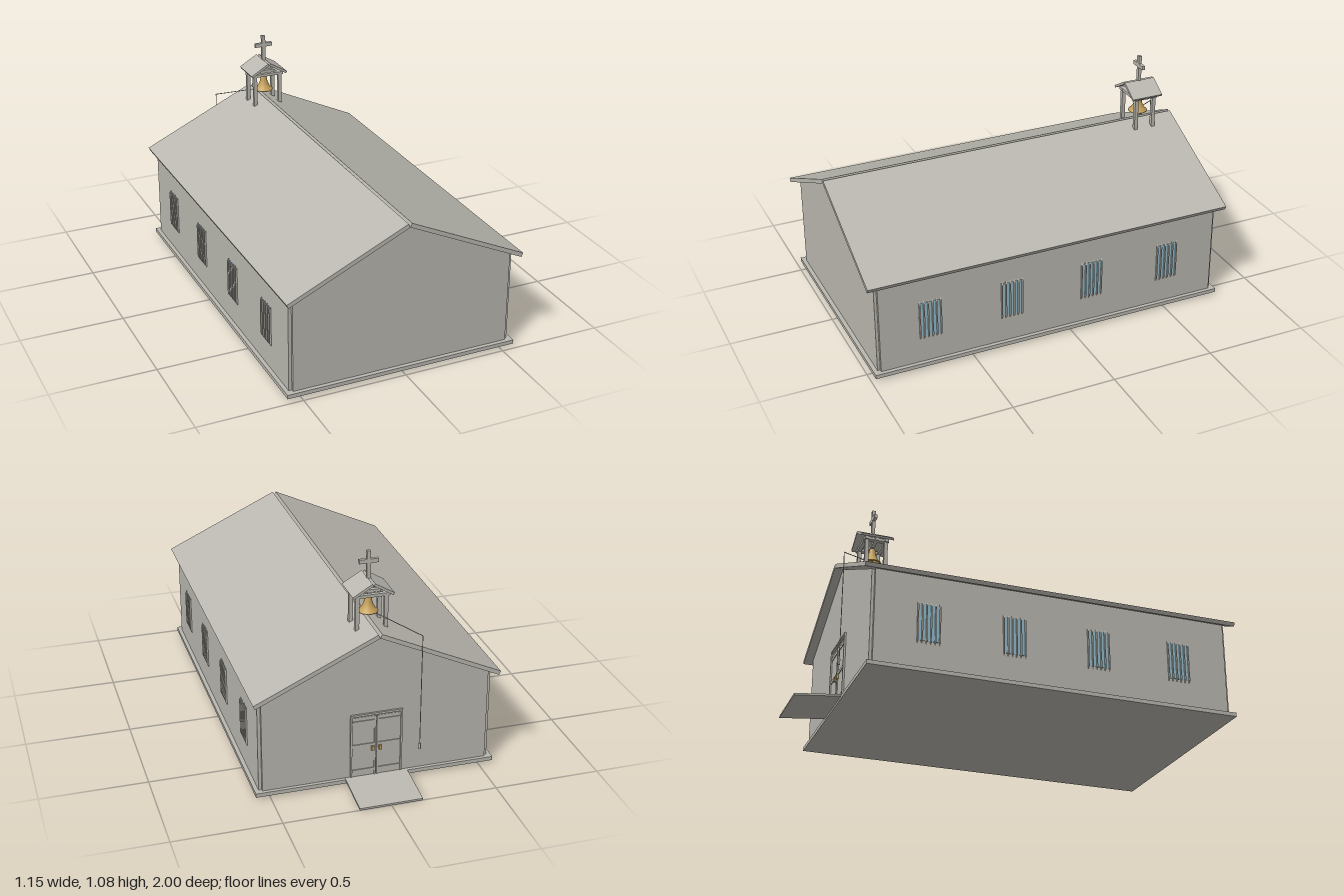
import * as THREE from 'three';

const stone = new THREE.MeshStandardMaterial({ color: 0xbab8b0 });
stone.name = 'warm grey';
const glass = new THREE.MeshStandardMaterial({ color: 0x93bccb });
glass.name = 'pale blue glass';
const brass = new THREE.MeshStandardMaterial({ color: 0xc4a05a, side: THREE.DoubleSide });
brass.name = 'brass';

function add(parent, name, geometry, material = stone) {
  const mesh = new THREE.Mesh(geometry, material);
  mesh.name = name;
  parent.add(mesh);
  return mesh;
}

// Box given by its minimum and maximum on each axis
function box(parent, name, x0, x1, y0, y1, z0, z1, material) {
  const mesh = add(parent, name, new THREE.BoxGeometry(x1 - x0, y1 - y0, z1 - z0), material);
  mesh.position.set((x0 + x1) / 2, (y0 + y1) / 2, (z0 + z1) / 2);
  return mesh;
}

// Straight rod between two points
function rod(parent, name, a, b, radius, material) {
  const path = new THREE.LineCurve3(new THREE.Vector3(...a), new THREE.Vector3(...b));
  return add(parent, name, new THREE.TubeGeometry(path, 1, radius, 8), material);
}

// Two tilted slabs that touch along their lower ridge edge
function gableRoof(parent, name, ridgeY, angle, length, thick, z0, z1) {
  for (const s of [-1, 1]) {
    const slab = new THREE.BoxGeometry(length, thick, z1 - z0);
    slab.translate(s * length / 2, thick / 2, 0);
    slab.rotateZ(-s * angle);
    add(parent, name, slab).position.set(0, ridgeY, (z0 + z1) / 2);
  }
}

function createWindow(side, z) {
  const g = new THREE.Group();
  g.name = 'window';
  const x = side * 0.548;
  const span = (w) => [Math.min(x, x + side * w), Math.max(x, x + side * w)];
  box(g, 'windowPane', ...span(0.002), 0.165, 0.34, z - 0.053, z + 0.053, glass);
  // Upright bars with bevelled ends
  const profile = new THREE.Shape([[0, 0.15], [0.008, 0.165], [0.008, 0.335], [0, 0.35]]
    .map(([px, py]) => new THREE.Vector2(px, py)));
  for (let i = 0; i < 6; i++) {
    const bar = new THREE.ExtrudeGeometry(profile, { depth: 0.006, bevelEnabled: false });
    bar.translate(0, 0, -0.003);
    if (side < 0) bar.rotateY(Math.PI);
    add(g, 'windowBar', bar).position.set(x, 0, z - 0.051 + i * 0.0204);
  }
  return g;
}

function createDoor() {
  const g = new THREE.Group();
  g.name = 'doubleDoor';
  for (const s of [-1, 1]) {
    const part = (name, a, b, y0, y1, z0, z1) =>
      box(g, name, Math.min(s * a, s * b), Math.max(s * a, s * b), y0, y1, z0, z1);
    part('doorJamb', 0.115, 0.123, 0.03, 0.35, -0.779, -0.769);
    part('doorLeaf', 0.002, 0.115, 0.03, 0.335, -0.772, -0.768);
    for (const y of [0.06, 0.19, 0.31]) part('doorRail', 0.004, 0.113, y - 0.007, y + 0.007, -0.776, -0.77);
    part('doorStile', 0.002, 0.01, 0.03, 0.335, -0.776, -0.77);
    box(g, 'doorHandle', s * 0.018 - 0.006, s * 0.018 + 0.006, 0.16, 0.182, -0.783, -0.77, brass);
  }
  box(g, 'doorHead', -0.123, 0.123, 0.342, 0.352, -0.779, -0.769);
  return g;
}

function createBelfry() {
  const g = new THREE.Group();
  g.name = 'belfry';
  const zc = -0.63;
  for (const x of [-0.067, 0.067]) {
    for (const z of [zc - 0.047, zc + 0.047]) box(g, 'belfryPost', x - 0.009, x + 0.009, 0.72, 0.88, z - 0.009, z + 0.009);
    box(g, 'belfrySideBeam', x - 0.012, x + 0.012, 0.88, 0.894, zc - 0.06, zc + 0.06);
  }
  for (const z of [zc - 0.05, zc, zc + 0.05]) box(g, 'belfryCrossBeam', -0.083, 0.083, 0.88, 0.894, z - 0.009, z + 0.009);
  gableRoof(g, 'belfryRoof', 0.943, 0.535, 0.106, 0.012, zc - 0.08, zc + 0.08);
  // Cross on the ridge
  box(g, 'crossUpright', -0.009, 0.009, 0.94, 1.08, zc - 0.008, zc + 0.008);
  box(g, 'crossArm', -0.045, 0.045, 1.022, 1.041, zc - 0.008, zc + 0.008);
  // Bell
  const profile = [[0, 0.08], [0.012, 0.08], [0.015, 0.073], [0.018, 0.05], [0.025, 0.028],
    [0.036, 0.012], [0.046, 0.004], [0.046, 0], [0.04, 0]];
  const bell = new THREE.LatheGeometry(profile.map(([r, y]) => new THREE.Vector2(r, y)).reverse(), 24);
  add(g, 'bell', bell, brass).position.set(0, 0.79, zc);
  rod(g, 'bellHanger', [0, 0.865, zc], [0, 0.885, zc], 0.004);
  rod(g, 'clapperRod', [0, 0.86, zc], [0, 0.795, zc], 0.002, brass);
  add(g, 'clapper', new THREE.SphereGeometry(0.008, 12, 8), brass).position.set(0, 0.793, zc);
  return g;
}

export function createModel() {
  const model = new THREE.Group();
  model.name = 'chapel';

  // Floor slab, and walls with small notches at the corners
  box(model, 'floorSlab', -0.567, 0.567, 0.012, 0.031, -0.787, 0.98);
  const gable = new THREE.Shape([[-0.533, 0.03], [0.533, 0.03], [0.533, 0.482], [0, 0.735], [-0.533, 0.482]]
    .map(([x, y]) => new THREE.Vector2(x, y)));
  const hall = new THREE.ExtrudeGeometry(gable, { depth: 1.73, bevelEnabled: false });
  add(model, 'hall', hall).position.z = -0.77;
  for (const s of [-1, 1]) {
    box(model, 'sideWall', s * 0.5405 - 0.0075, s * 0.5405 + 0.0075, 0.03, 0.48, -0.757, 0.947);
    for (const z of [0.703, 0.301, -0.107, -0.508]) model.add(createWindow(s, z));
  }
  gableRoof(model, 'roof', 0.737, 0.436, 0.627, 0.02, -0.81, 1);

  model.add(createDoor());
  model.add(createBelfry());

  // Sloping ramp at the door
  const ramp = new THREE.Shape([[0.78, 0.024], [1, 0], [1, 0.009], [0.78, 0.034]]
    .map(([x, y]) => new THREE.Vector2(x, y)));
  const rampGeometry = new THREE.ExtrudeGeometry(ramp, { depth: 0.296, bevelEnabled: false });
  rampGeometry.translate(0, 0, -0.148);
  rampGeometry.rotateY(Math.PI / 2);
  add(model, 'ramp', rampGeometry);

  // Bell rope with its handle
  rod(model, 'ropeSlope', [0, 0.797, -0.63], [-0.194, 0.725, -0.815], 0.002);
  rod(model, 'ropeDrop', [-0.194, 0.726, -0.815], [-0.194, 0.17, -0.815], 0.002);
  const handle = add(model, 'ropeHandle', new THREE.CylinderGeometry(0.005, 0.006, 0.028, 10));
  handle.position.set(-0.194, 0.168, -0.815);
  return model;
}
